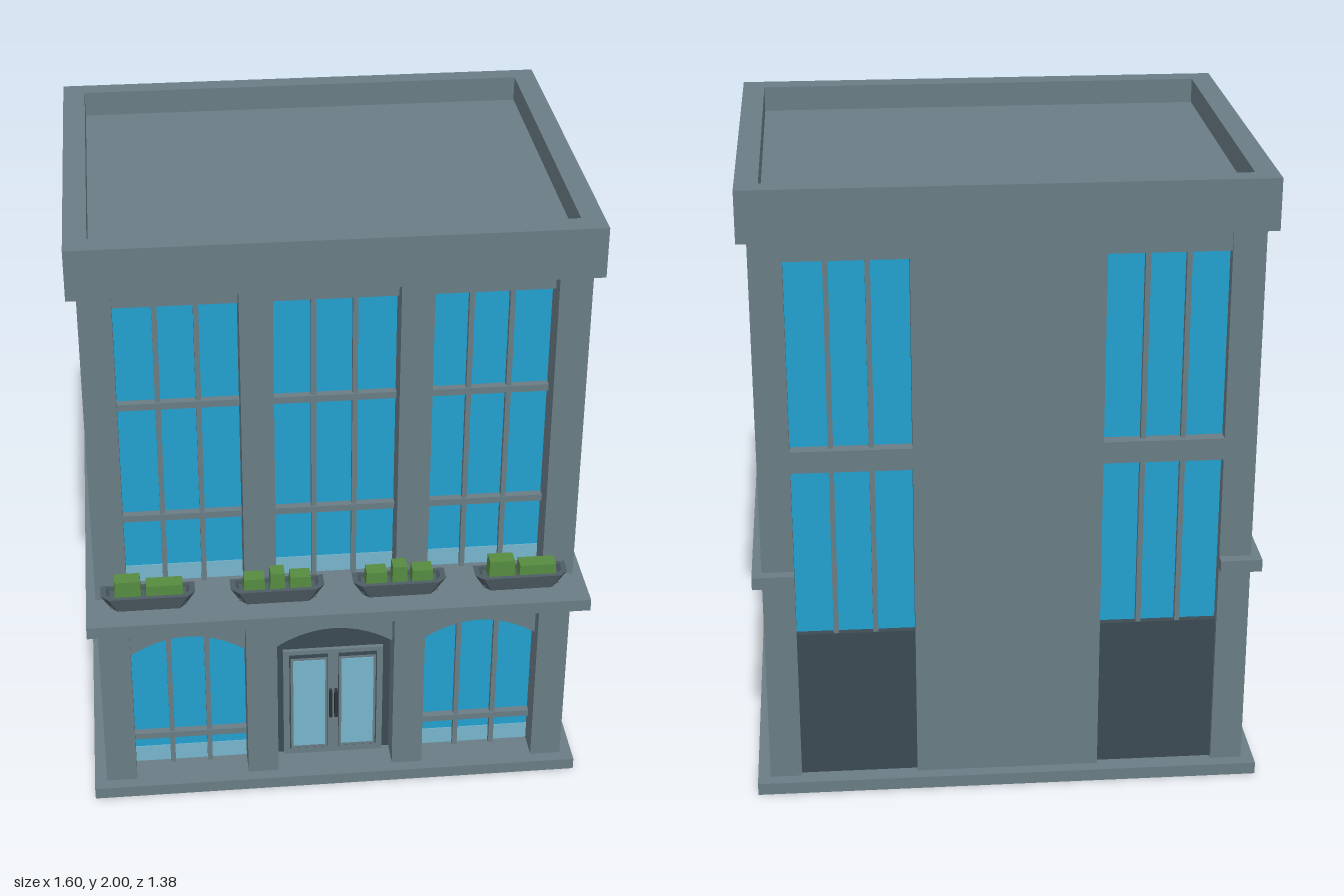
import * as THREE from 'three';

const mat = (name, color) => {
  const m = new THREE.MeshStandardMaterial({ color });
  m.name = name;
  return m;
};

export function createModel() {
  const wall = mat('grey wall', 0x6a7c85);
  const dark = mat('dark panel', 0x3c4a53);
  const planterGrey = mat('planter grey', 0x4e5c65);
  const glass = mat('blue glass', 0x229fce);
  const paleGlass = mat('pale glass', 0x76b5cd);
  const green = mat('hedge green', 0x568b41);
  const handleGrey = mat('handle charcoal', 0x2a3238);

  const root = new THREE.Group();
  root.name = 'building';

  const add = (name, geo, material, parent = root) => {
    const m = new THREE.Mesh(geo, material);
    m.name = name;
    parent.add(m);
    return m;
  };
  // Box given by its limits on each axis
  const box = (name, material, x0, x1, y0, y1, z0, z1, parent) => {
    const g = new THREE.BoxGeometry(x1 - x0, y1 - y0, z1 - z0);
    g.translate((x0 + x1) / 2, (y0 + y1) / 2, (z0 + z1) / 2);
    return add(name, g, material, parent);
  };
  // Plan outline of [x, z] points raised from y0 to y1
  const toV = pts => pts.map(([x, z]) => new THREE.Vector2(x, -z));
  const raise = (pts, y0, y1, hole) => {
    const s = new THREE.Shape(toV(pts));
    if (hole) s.holes.push(new THREE.Path(toV(hole)));
    const g = new THREE.ExtrudeGeometry(s, { depth: y1 - y0, bevelEnabled: false });
    g.rotateX(-Math.PI / 2);
    g.translate(0, y0, 0);
    return g;
  };
  const rect = (x0, x1, z0, z1) => [[x0, z1], [x1, z1], [x1, z0], [x0, z0]];

  const FRONT = 0.54, GLASS = 0.44, BACK = -0.65, BACK_GLASS = -0.605;

  // Base slab and main walls with window bays cut into the plan
  box('baseSlab', wall, -0.8, 0.8, 0, 0.04, -0.69, 0.58);
  const plan = [[-0.76, BACK], [-0.76, FRONT]];
  for (const [a, b] of [[-0.66, -0.29], [-0.19, 0.19], [0.29, 0.66]])
    plan.push([a, FRONT], [a, GLASS], [b, GLASS], [b, FRONT]);
  plan.push([0.76, FRONT], [0.76, BACK]);
  for (const [a, b] of [[0.66, 0.29], [-0.29, -0.66]])
    plan.push([a, BACK], [a, BACK_GLASS], [b, BACK_GLASS], [b, BACK]);
  add('walls', raise(plan, 0.04, 1.84), wall);

  // Parapet and roof deck
  add('parapet', raise(rect(-0.79, 0.79, -0.685, 0.57), 1.84, 2, rect(-0.72, 0.72, -0.62, 0.495)), wall);
  box('roofDeck', wall, -0.72, 0.72, 1.85, 1.92, -0.62, 0.495);

  // Balcony ledge, wrapping round the sides to the rear corner piers
  box('balconyLedge', wall, -0.79, 0.79, 0.73, 0.77, GLASS, 0.69);
  for (const s of [-1, 1]) {
    const [a, b] = s > 0 ? [0.74, 0.79] : [-0.79, -0.74];
    box('sideLedge', wall, a, b, 0.73, 0.77, -0.685, GLASS);
    const [c, d] = s > 0 ? [0.66, 0.74] : [-0.74, -0.66];
    box('rearLedgeEnd', wall, c, d, 0.73, 0.77, -0.685, -0.64);
  }

  // Glass sheet with two mullions and crossbars; dir is the outward z direction
  const windowPane = (name, x0, x1, y0, y1, z, dir, bars) => {
    const g = new THREE.Group();
    g.name = name;
    root.add(g);
    const slab = (n, m, a, b, c, d, t) =>
      box(n, m, a, b, c, d, Math.min(z, z + dir * t), Math.max(z, z + dir * t), g);
    slab('glass', glass, x0, x1, y0, y1, 0.005);
    for (const t of [1 / 3, 2 / 3]) {
      const x = x0 + (x1 - x0) * t;
      slab('mullion', wall, x - 0.008, x + 0.008, y0, y1, 0.025);
    }
    for (const y of bars) slab('crossbar', wall, x0, x1, y - 0.011, y + 0.011, 0.03);
    return slab;
  };

  // Wall above an opening with an arched underside
  const archInfill = (x0, x1) => {
    const s = new THREE.Shape();
    s.moveTo(x0, 0.73);
    s.lineTo(x0, 0.51);
    s.quadraticCurveTo((x0 + x1) / 2, 0.635, x1, 0.51);
    s.lineTo(x1, 0.73);
    const g = new THREE.ExtrudeGeometry(s, { depth: 0.05, bevelEnabled: false, curveSegments: 10 });
    g.translate(0, 0, GLASS);
    add('archedInfill', g, wall);
  };

  // Front bays
  for (const [x0, x1] of [[-0.66, -0.29], [-0.19, 0.19], [0.29, 0.66]]) {
    const upper = windowPane('upperWindow', x0, x1, 0.77, 1.77, GLASS, 1, [1.02, 1.42]);
    upper('palePane', paleGlass, x0, x1, 0.77, 0.83, 0.008);
    box('windowHead', wall, x0, x1, 1.77, 1.84, GLASS, 0.49);
    archInfill(x0, x1);
    if (x0 !== -0.19) {
      const lower = windowPane('lowerWindow', x0, x1, 0.04, 0.58, GLASS, 1, [0.16]);
      lower('palePane', paleGlass, x0, x1, 0.04, 0.1, 0.008);
    }
  }

  // Entrance: dark recess, frame, two glazed leaves with handles
  const door = new THREE.Group();
  door.name = 'entrance';
  root.add(door);
  box('doorRecess', dark, -0.19, 0.19, 0.04, 0.6, GLASS, 0.446, door);
  box('doorFrame', wall, -0.165, 0.165, 0.04, 0.465, 0.446, 0.46, door);
  for (const s of [-1, 1]) {
    const part = (n, m, a, b, y0, y1, z0, z1) =>
      box(n, m, Math.min(s * a, s * b), Math.max(s * a, s * b), y0, y1, z0, z1, door);
    part('doorSeal', dark, 0.017, 0.145, 0.065, 0.45, 0.46, 0.463);
    part('doorLeaf', wall, 0.019, 0.141, 0.068, 0.437, 0.463, 0.466);
    part('doorGlass', paleGlass, 0.027, 0.133, 0.08, 0.43, 0.466, 0.469);
    part('doorHandle', handleGrey, 0.004, 0.014, 0.2, 0.305, 0.46, 0.48);
  }

  // Rear bays
  for (const [x0, x1] of [[-0.66, -0.29], [0.29, 0.66]]) {
    windowPane('rearWindow', x0, x1, 0.54, 1.77, BACK_GLASS, -1, []);
    box('rearLintel', wall, x0, x1, 1.77, 1.84, -0.645, BACK_GLASS);
    box('rearSpandrel', wall, x0, x1, 1.1, 1.17, -0.65, BACK_GLASS);
    box('rearPanel', dark, x0, x1, 0.04, 0.54, -0.632, BACK_GLASS);
  }

  // Tapered planters with clipped hedges: [x0, x1, top]
  const outline = (w, z0, z1, c) =>
    [[-w, z0], [-w, z1 - c], [-w + c, z1], [w - c, z1], [w, z1 - c], [w, z0]];
  const wide = [[-0.105, -0.02, 0.872], [-0.008, 0.112, 0.852]];
  const trio = [[-0.108, -0.038, 0.856], [-0.025, 0.025, 0.873], [0.037, 0.107, 0.856]];
  for (const [x, hedges] of [[-0.595, wide], [-0.19, trio], [0.195, trio], [0.582, wide]]) {
    const p = new THREE.Group();
    p.name = 'planter';
    p.position.x = x;
    root.add(p);
    const g = raise(outline(0.147, 0.541, 0.622, 0.025), 0.77, 0.822, outline(0.13, 0.55, 0.608, 0.02));
    const pos = g.attributes.position;
    for (let i = 0; i < pos.count; i++)
      if (pos.getY(i) < 0.79) {
        pos.setX(i, pos.getX(i) * 0.79);
        pos.setZ(i, 0.541 + (pos.getZ(i) - 0.541) * 0.84);
      }
    g.computeVertexNormals();
    add('trough', g, planterGrey, p);
    box('soil', planterGrey, -0.12, 0.12, 0.78, 0.808, 0.548, 0.603, p);
    for (const [a, b, top] of hedges) {
      const h = box('hedge', green, a, b, 0.8, top, 0.551, 0.601, p);
      // Draw the top in slightly for a clipped look
      const hp = h.geometry.attributes.position;
      for (let i = 0; i < hp.count; i++)
        if (hp.getY(i) > 0.82) hp.setX(i, hp.getX(i) + (hp.getX(i) > (a + b) / 2 ? -0.003 : 0.003));
      h.geometry.computeVertexNormals();
    }
  }
  return root;
}
